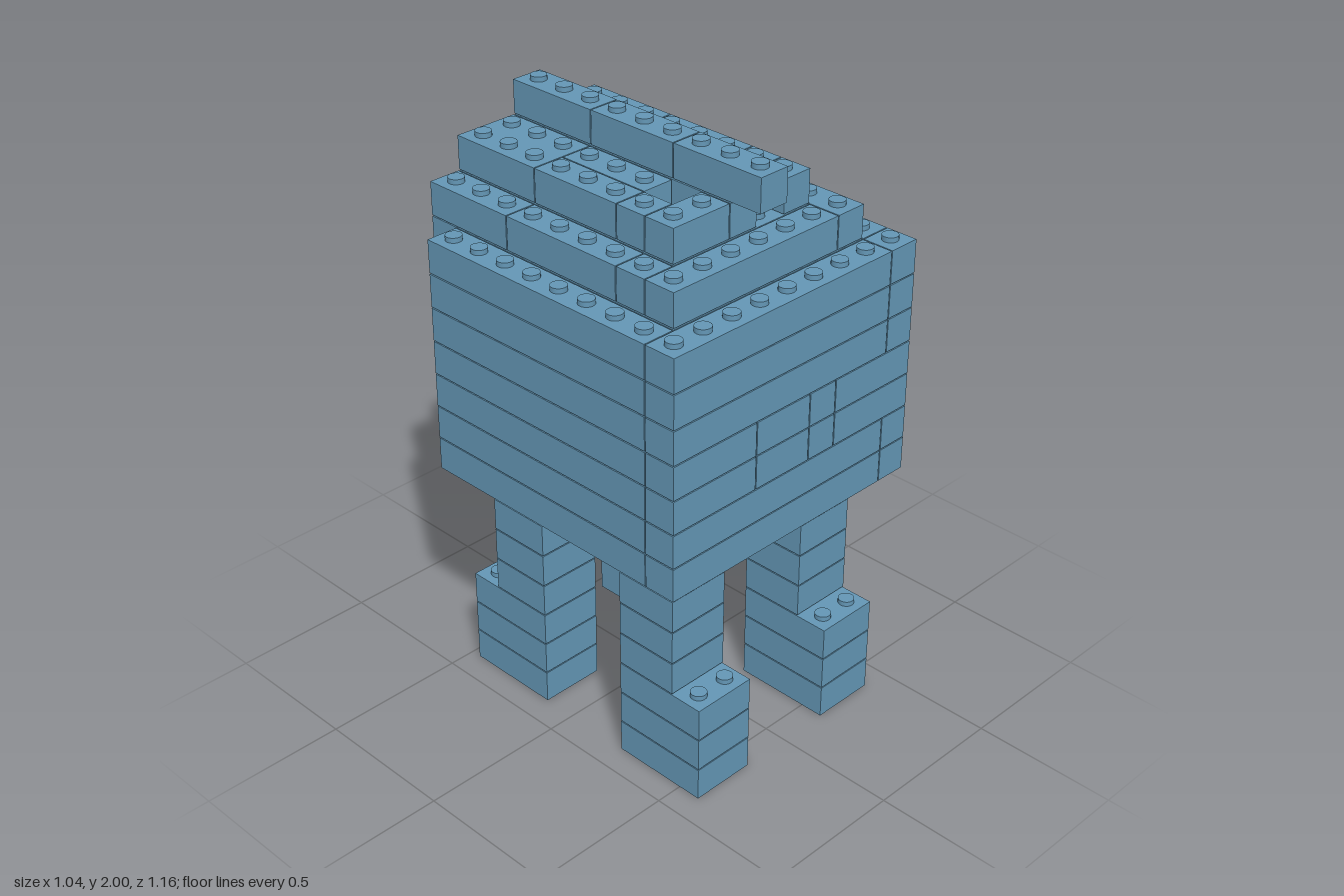
import * as THREE from 'three';

const P = 0.1165, H = 0.1169, GAP = 0.004;   // stud pitch, layer height, seam width
const STUD_R = 0.027, STUD_H = 0.0127;

export function createModel() {
  const model = new THREE.Group();
  model.name = 'brickElephantBody';
  model.name = 'brickAnimal';
  const blue = new THREE.MeshStandardMaterial({ color: 0x6497b6 });
  blue.name = 'sand blue';
  const studGeo = new THREE.CylinderGeometry(STUD_R, STUD_R, STUD_H + GAP, 20);
  const filled = new Map();   // occupied cells -> owning group

  const part = (name) => {
    const g = new THREE.Group();
    g.name = name;
    model.add(g);
    return g;
  };

  // One brick over columns i0..i1 (x) and k0..k1 (z, from the back) in a layer
  const brick = (group, layer, i0, i1, k0, k1) => {
    const geo = new THREE.BoxGeometry((i1 - i0) * P - GAP, H - GAP, (k1 - k0) * P - GAP);
    const mesh = new THREE.Mesh(geo, blue);
    mesh.name = 'brick';
    mesh.position.set(((i0 + i1) / 2 - 4.5) * P, (layer + 0.5) * H - GAP / 2, ((k0 + k1) / 2 - 5) * P);
    group.add(mesh);
    for (let i = i0; i < i1; i++)
      for (let k = k0; k < k1; k++) filled.set(`${layer},${i},${k}`, group);
  };

  // Rows of bricks split at the given cuts, along z or along x
  const rowZ = (group, layer, i0, i1, cuts) => {
    for (let n = 0; n + 1 < cuts.length; n++) brick(group, layer, i0, i1, cuts[n], cuts[n + 1]);
  };
  const rowX = (group, layer, k0, k1, cuts) => {
    for (let n = 0; n + 1 < cuts.length; n++) brick(group, layer, cuts[n], cuts[n + 1], k0, k1);
  };

  // Legs: three-stud feet below two-stud shanks; rear feet point backwards
  for (const [side, i] of [['right', 1], ['left', 6]]) {
    const front = part(side + 'FrontLeg'), back = part(side + 'BackLeg');
    for (let l = 0; l < 7; l++) {
      brick(front, l, i, i + 2, 7, l < 3 ? 10 : 9);
      brick(back, l, i, i + 2, l < 3 ? 1 : 2, 4);
    }
  }

  // Body: seven layers with a narrower slab at the back
  const body = part('body');
  for (let l = 7; l < 14; l++) {
    brick(body, l, 1, 8, 0, 1);
    brick(body, l, 0, 1, 1, 9);
    brick(body, l, 1, 8, 1, 9);
    if (l < 9) {
      brick(body, l, 0, 8, 9, 10);
      brick(body, l, 8, 9, 1, 10);
    } else if (l < 11) {
      rowX(body, l, 9, 10, [0, 3, 5, 6, 9]);
      brick(body, l, 8, 9, 1, 9);
    } else {
      rowX(body, l, 9, 10, [0, 8, 9]);
      rowZ(body, l, 8, 9, l === 12 ? [1, 4, 8, 9] : [1, 3, 4, 8, 9]);
    }
  }

  // Lower roof step
  const lower = part('lowerRoof');
  rowZ(lower, 14, 1, 2, [0, 3, 7, 8]);
  brick(lower, 14, 2, 7, 0, 8);
  brick(lower, 14, 1, 7, 8, 9);
  rowZ(lower, 14, 7, 8, [0, 3, 7, 9]);

  // Upper roof step, with a small open cell on each side of the ridge
  const upper = part('upperRoof');
  brick(upper, 15, 2, 4, 0, 3);
  rowZ(upper, 15, 2, 3, [3, 6, 7]);
  brick(upper, 15, 3, 4, 3, 6);
  brick(upper, 15, 2, 4, 7, 8);
  brick(upper, 15, 4, 5, 0, 8);
  rowZ(upper, 15, 5, 6, [0, 2, 3]);
  brick(upper, 15, 6, 7, 0, 3);
  rowZ(upper, 15, 5, 7, [3, 6, 7]);
  brick(upper, 15, 6, 7, 7, 8);

  // Ridge bar overhanging the front
  rowZ(part('ridge'), 16, 4, 5, [0, 3, 6, 9]);

  // Studs on every cell that has nothing above it
  for (const [key, group] of filled) {
    const [l, i, k] = key.split(',').map(Number);
    if (filled.has(`${l + 1},${i},${k}`)) continue;
    const stud = new THREE.Mesh(studGeo, blue);
    stud.name = 'stud';
    stud.position.set((i - 4) * P, (l + 1) * H + (STUD_H - GAP) / 2, (k - 4.5) * P);
    group.add(stud);
  }
  return model;
}
